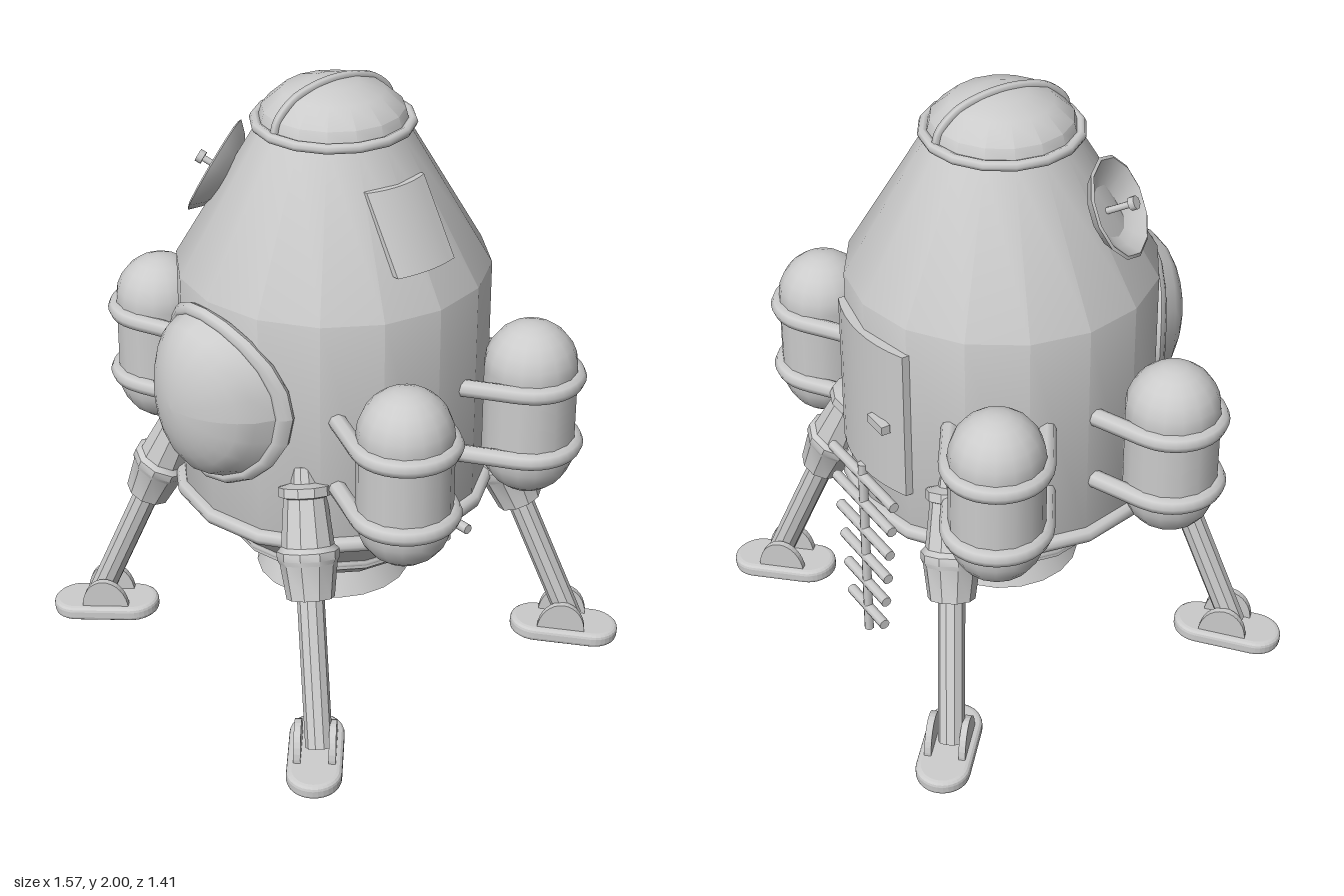
import * as THREE from 'three';
import { toCreasedNormals, mergeVertices } from 'three/addons/utils/BufferGeometryUtils.js';

const V = (x, y, z) => new THREE.Vector3(x, y, z);
const UP = V(0, 1, 0);

export function createModel() {
  const model = new THREE.Group();
  model.name = 'lander';
  const mat = new THREE.MeshStandardMaterial({ color: 0xcccccc });
  const thinMat = new THREE.MeshStandardMaterial({ color: 0xcccccc, side: THREE.DoubleSide });

  const add = (name, geo, parent = model, material = mat) => {
    const mesh = new THREE.Mesh(geo, material);
    mesh.name = name;
    parent.add(mesh);
    return mesh;
  };
  const lathe = (pts, sides = 16) =>
    toCreasedNormals(new THREE.LatheGeometry(pts.map(p => new THREE.Vector2(...p)), sides), 0.6);
  const hoop = (name, radius, tube, y) => {
    const g = new THREE.TorusGeometry(radius, tube, 8, 16);
    g.rotateX(Math.PI / 2);
    add(name, g).position.y = y;
  };
  const rod = (name, a, b, r, parent = model, sides = 8) => {
    const d = b.clone().sub(a);
    const mesh = add(name, new THREE.CylinderGeometry(r, r, d.length(), sides), parent);
    mesh.position.copy(a).add(b).multiplyScalar(0.5);
    mesh.quaternion.setFromUnitVectors(UP, d.normalize());
    return mesh;
  };
  // Hull radius at a height, and hull depth at a sideways offset
  const hullR = y => (y < 1.39 ? 0.5 : 0.5 - (y - 1.39) * 0.59);
  const hullZ = (x, y) => Math.sqrt(Math.max(0, hullR(y) ** 2 - x * x));
  const bend = (geo, rule) => {
    const p = geo.attributes.position;
    for (let i = 0; i < p.count; i++) p.setZ(i, rule(p.getX(i), p.getY(i), p.getZ(i)));
    geo.computeVertexNormals();
    return geo;
  };
  // Curved plate lying on the hull's front side
  const plate = (w, h, t, y) => {
    const g = new THREE.BoxGeometry(w, h, t, 8, 1, 1);
    g.translate(0, y, 0);
    return toCreasedNormals(bend(g, (x, yy, z) => hullZ(x, yy) + z), 0.5);
  };

  // Hull, engine skirt and nozzle
  add('hull', lathe([[0, 0.6], [0.49, 0.6], [0.5, 0.63], [0.5, 1.39], [0.23, 1.85], [0, 1.85]]));
  add('engineSkirt', lathe([[0, 0.38], [0.28, 0.38], [0.34, 0.43], [0.34, 0.46], [0.48, 0.62]]));
  hoop('hullFlange', 0.503, 0.026, 0.63);
  hoop('skirtRing', 0.325, 0.018, 0.447);
  add('nozzle', lathe([[0, 0.27], [0.257, 0.27], [0.205, 0.39]], 20));

  // Top dome with a ridge across it
  const dome = [[0.235, 1.85], [0.222, 1.9], [0.16, 1.954], [0.08, 1.978], [0, 1.985]];
  add('topDome', lathe(dome));
  hoop('domeCollar', 0.243, 0.017, 1.855);
  const ridge = [...dome.map(([r, y]) => V(0, y, r)), ...dome.slice(0, -1).reverse().map(([r, y]) => V(0, y, -r))];
  add('domeRidge', new THREE.TubeGeometry(new THREE.CatmullRomCurve3(ridge), 28, 0.014, 6));

  // Bulging front window fitted to the hull curve
  const glass = new THREE.RingGeometry(0, 0.275, 20, 8);
  glass.deleteAttribute('uv');
  glass.deleteAttribute('normal');
  bend(glass, (x, y) => hullZ(x, 1) + 0.155 * Math.sqrt(Math.max(0, 1 - (x * x + y * y) / 0.0757)));
  const bulge = mergeVertices(glass, 1e-4);
  bulge.computeVertexNormals();
  add('frontWindow', bulge, model, thinMat).position.y = 1.075;
  const frame = new THREE.TorusGeometry(0.273, 0.023, 8, 20);
  add('frontWindowFrame', bend(frame, (x, y, z) => hullZ(x, 1) + 0.01 + z)).position.y = 1.075;

  // Side panel, rear door and its handle
  add('sidePanel', plate(0.23, 0.23, 0.03, 1.62)).rotation.y = Math.PI / 2;
  add('door', plate(0.4, 0.52, 0.045, 1.04)).rotation.y = Math.PI;
  add('doorHandle', new THREE.BoxGeometry(0.09, 0.03, 0.03)).position.set(-0.11, 1.02, -0.52);

  // Ladder with one pole and rungs that widen upward
  const ladder = new THREE.Group();
  ladder.name = 'ladder';
  model.add(ladder);
  rod('ladderPole', V(0, 0.12, -0.525), V(0, 0.8, -0.525), 0.016, ladder);
  for (let i = 0; i < 6; i++) {
    const y = 0.21 + i * 0.108, w = 0.11 + i * 0.018;
    rod('rung', V(-w, y, -0.525), V(w, y, -0.525), 0.018, ladder);
  }

  // Dish antenna
  const dish = new THREE.Group();
  dish.name = 'dish';
  dish.position.set(-0.31, 1.66, 0.22);
  dish.quaternion.setFromUnitVectors(UP, V(-0.71, 0.47, 0.52).normalize());
  model.add(dish);
  add('dishBowl', lathe([[0, -0.075], [0.07, -0.062], [0.13, -0.03], [0.165, 0.005],
    [0.155, 0.01], [0.12, -0.02], [0.065, -0.048], [0, -0.06]], 12), dish, thinMat);
  rod('dishMount', V(0, -0.14, 0), V(0, -0.06, 0), 0.03, dish);
  rod('dishFeed', V(0, -0.07, 0), V(0, 0.065, 0), 0.011, dish);
  rod('dishFeedTip', V(0, 0.045, 0), V(0, 0.065, 0), 0.022, dish);

  // Tanks held by U-shaped straps
  const makeTank = (x, z) => {
    const g = new THREE.Group();
    g.name = 'tank';
    g.position.set(x, 0, z);
    g.rotation.y = Math.atan2(-z, x);
    model.add(g);
    add('tankBody', new THREE.CapsuleGeometry(0.15, 0.29, 6, 16), g).position.y = 0.953;
    const path = [V(-0.21, 0, -0.148), V(-0.14, 0, -0.148), V(-0.07, 0, -0.148)];
    for (let i = 0; i <= 10; i++) {
      const a = -Math.PI / 2 + (i / 10) * Math.PI;
      path.push(V(0.148 * Math.cos(a), 0, 0.148 * Math.sin(a)));
    }
    path.push(V(-0.07, 0, 0.148), V(-0.14, 0, 0.148), V(-0.21, 0, 0.148));
    const strap = new THREE.TubeGeometry(new THREE.CatmullRomCurve3(path), 32, 0.029, 8);
    for (const y of [0.83, 1.065]) add('tankStrap', strap, g, thinMat).position.y = y;
  };

  // Foot pad outline and ankle plate
  const pad = new THREE.Shape();
  pad.absarc(0.095, 0, 0.07, -Math.PI / 2, Math.PI / 2, false);
  pad.absarc(-0.095, 0, 0.07, Math.PI / 2, Math.PI * 1.5, false);
  const padGeo = new THREE.ExtrudeGeometry(pad, {
    depth: 0.02, bevelThickness: 0.015, bevelSize: 0.017, bevelSegments: 3, curveSegments: 8 });
  padGeo.rotateX(-Math.PI / 2);
  const ear = new THREE.Shape();
  ear.absellipse(0, 0, 0.08, 0.105, 0, Math.PI, false, 0);
  const earGeo = new THREE.ExtrudeGeometry(ear, { depth: 0.022, bevelEnabled: false, curveSegments: 8 });
  earGeo.translate(0, 0, -0.011);

  // Strut, sleeve, collar and cap along one axis
  const legGeo = lathe([[0, -0.02], [0.043, -0.02], [0.043, 0.45], [0.075, 0.45], [0.09, 0.56], [0.098, 0.575],
    [0.098, 0.6], [0.083, 0.615], [0.068, 0.765], [0.082, 0.77], [0.082, 0.8], [0.042, 0.81],
    [0.036, 0.86], [0, 0.865]], 10);
  const makeLeg = (sx, sz) => {
    const leg = new THREE.Group();
    leg.name = 'leg';
    model.add(leg);
    const strut = add('legStrut', legGeo, leg);
    strut.position.set(sx * 0.575, 0.1, sz * 0.55);
    strut.quaternion.setFromUnitVectors(UP, V(-sx * 0.265, 0.72, -sz * 0.17).normalize());
    const foot = new THREE.Group();
    foot.name = 'foot';
    foot.position.set(sx * 0.56, 0.01, sz * 0.55);
    foot.rotation.set(0, Math.atan2(-sz * 0.53, sx * 0.57), -0.06);
    leg.add(foot);
    add('footPad', padGeo, foot).position.y = 0.015;
    for (const s of [-1, 1]) add('anklePlate', earGeo, foot).position.set(-0.01, 0.04, s * 0.055);
  };

  for (const s of [-1, 1]) {
    makeTank(s * 0.61, 0.237);
    makeTank(s * 0.54, -0.357);
    makeLeg(s, 1);
    makeLeg(s, -1);
  }
  return model;
}
